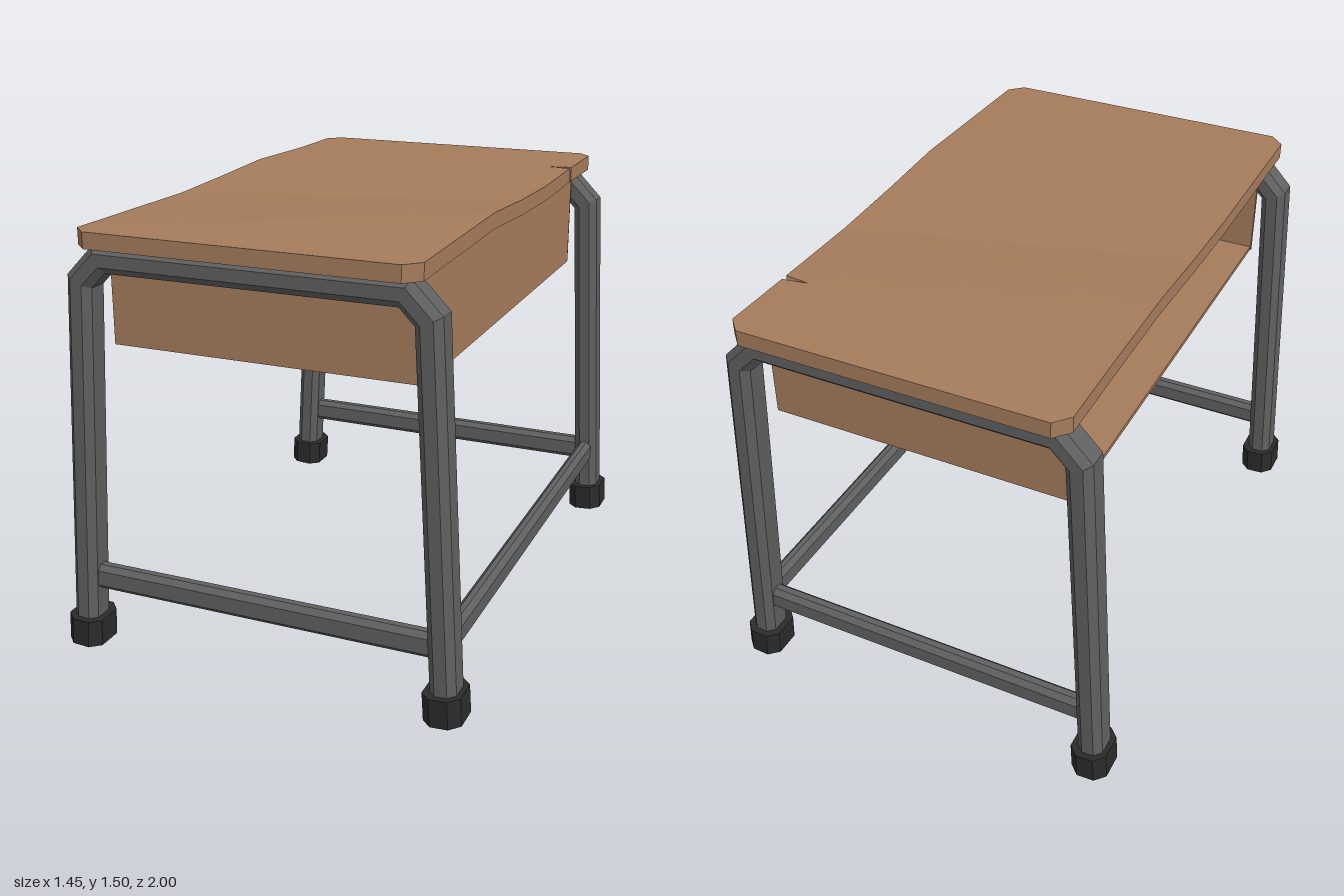
import * as THREE from 'three';

const wood = new THREE.MeshStandardMaterial({ color: 0xa67c5c, flatShading: true });
const steel = new THREE.MeshStandardMaterial({ color: 0x606060, flatShading: true });
const rubber = new THREE.MeshStandardMaterial({ color: 0x2b2b2b, flatShading: true });

// Skin a list of equal-length rings (counter-clockwise about the travel direction) and cap both ends
function loft(rings) {
  const pos = [];
  const tri = (...pts) => pts.forEach((p) => pos.push(p.x, p.y, p.z));
  const n = rings[0].length;
  for (let i = 0; i < rings.length - 1; i++) {
    for (let j = 0; j < n; j++) {
      const k = (j + 1) % n;
      const [a, b, c, d] = [rings[i][j], rings[i][k], rings[i + 1][k], rings[i + 1][j]];
      tri(a, b, c);
      tri(a, c, d);
    }
  }
  const first = rings[0], last = rings[rings.length - 1];
  for (let j = 1; j < n - 1; j++) {
    tri(first[0], first[j + 1], first[j]);
    tri(last[0], last[j], last[j + 1]);
  }
  const geo = new THREE.BufferGeometry();
  geo.setAttribute('position', new THREE.Float32BufferAttribute(pos, 3));
  geo.computeVertexNormals();
  return geo;
}

// Sweep a chamfered rectangle along a planar path with mitred bends.
// w is measured in the path's plane, d along the plane's normal.
function chamferedBar(path, planeNormal, w, d, c) {
  const u = w / 2, v = d / 2;
  const section = [
    [u, -v + c], [u, v - c], [u - c, v], [-u + c, v],
    [-u, v - c], [-u, -v + c], [-u + c, -v], [u - c, -v],
  ];
  const side = (a, b) => planeNormal.clone().cross(b.clone().sub(a).normalize());
  return loft(path.map((p, i) => {
    const n0 = side(path[Math.max(i - 1, 0)], path[Math.max(i, 1)]);
    const last = path.length - 1;
    const n1 = side(path[Math.min(i, last - 1)], path[Math.min(i + 1, last)]);
    const mitre = n0.clone().add(n1).normalize();
    mitre.divideScalar(mitre.dot(n0));
    return section.map(([a, b]) => p.clone().addScaledVector(mitre, a).addScaledVector(planeNormal, b));
  }));
}

// Slightly warped top with clipped corners and a V-shaped chip in one edge
function tabletopGeometry() {
  // z, half width, top height at +x, top height at -x, chip depth
  const rows = [
    [-1, 0.53, 1.49, 1.49, 0],
    [-0.95, 0.577, 1.49, 1.492, 0],
    [-0.685, 0.575, 1.487, 1.494, 0],
    [-0.67, 0.575, 1.487, 1.494, 0.09],
    [-0.66, 0.575, 1.487, 1.494, 0],
    [-0.3, 0.578, 1.48, 1.503, 0],
    [0, 0.58, 1.488, 1.49, 0],
    [0.3, 0.58, 1.503, 1.48, 0],
    [0.95, 0.58, 1.487, 1.488, 0],
    [1, 0.53, 1.487, 1.488, 0],
  ];
  const t = 0.055;
  return loft(rows.map(([z, h, yr, yl, chip]) => [
    new THREE.Vector3(-h, yl - t, z),
    new THREE.Vector3(h, yr - t, z),
    new THREE.Vector3(h - chip, yr, z),
    new THREE.Vector3(-h, yl, z),
  ]));
}

export function createModel() {
  const model = new THREE.Group();
  model.name = 'desk';
  const add = (name, geo, mat, parent = model) => {
    const mesh = new THREE.Mesh(geo, mat);
    mesh.name = name;
    parent.add(mesh);
    return mesh;
  };
  const V = (x, y, z) => new THREE.Vector3(x, y, z);
  const X = V(1, 0, 0), Z = V(0, 0, 1);

  add('tabletop', tabletopGeometry(), wood);

  // Book tray, open on the -x side
  const tray = new THREE.Group();
  tray.name = 'tray';
  model.add(tray);
  const panel = (name, w, h, d, x, y, z) =>
    add(name, new THREE.BoxGeometry(w, h, d), wood, tray).position.set(x, y, z);
  panel('trayFloor', 1.07, 0.015, 1.67, 0, 1.0855, 0);
  panel('traySideWall', 0.015, 0.365, 1.66, 0.5325, 1.2605, 0);
  for (const s of [1, -1]) panel('trayEndWall', 1.075, 0.355, 0.015, 0, 1.2555, s * 0.835);

  // Two arched leg frames with crossbars and feet
  for (const [name, z] of [['front', 0.904], ['back', -0.904]]) {
    const frame = new THREE.Group();
    frame.name = name + 'Frame';
    model.add(frame);
    const arch = [[-0.663, 0.02], [-0.593, 1.31], [-0.517, 1.388], [0.517, 1.388], [0.593, 1.31], [0.663, 0.02]];
    add(name + 'Legs', chamferedBar(arch.map(([x, y]) => V(x, y, z)), Z, 0.09, 0.115, 0.024), steel, frame);
    add(name + 'Crossbar', chamferedBar([V(-0.635, 0.252, z), V(0.635, 0.252, z)], Z, 0.09, 0.06, 0.018), steel, frame);
    for (const s of [1, -1]) {
      const path = [V(s * 0.662, 0.004, z), V(s * 0.656, 0.102, z)];
      add(name + 'Foot', chamferedBar(path, Z, 0.13, 0.16, 0.034), rubber, frame);
    }
  }

  // Long rail joining the frames on the +x side
  add('sideRail', chamferedBar([V(0.648, 0.255, -0.87), V(0.648, 0.255, 0.87)], X, 0.09, 0.055, 0.018), steel);

  return model;
}
